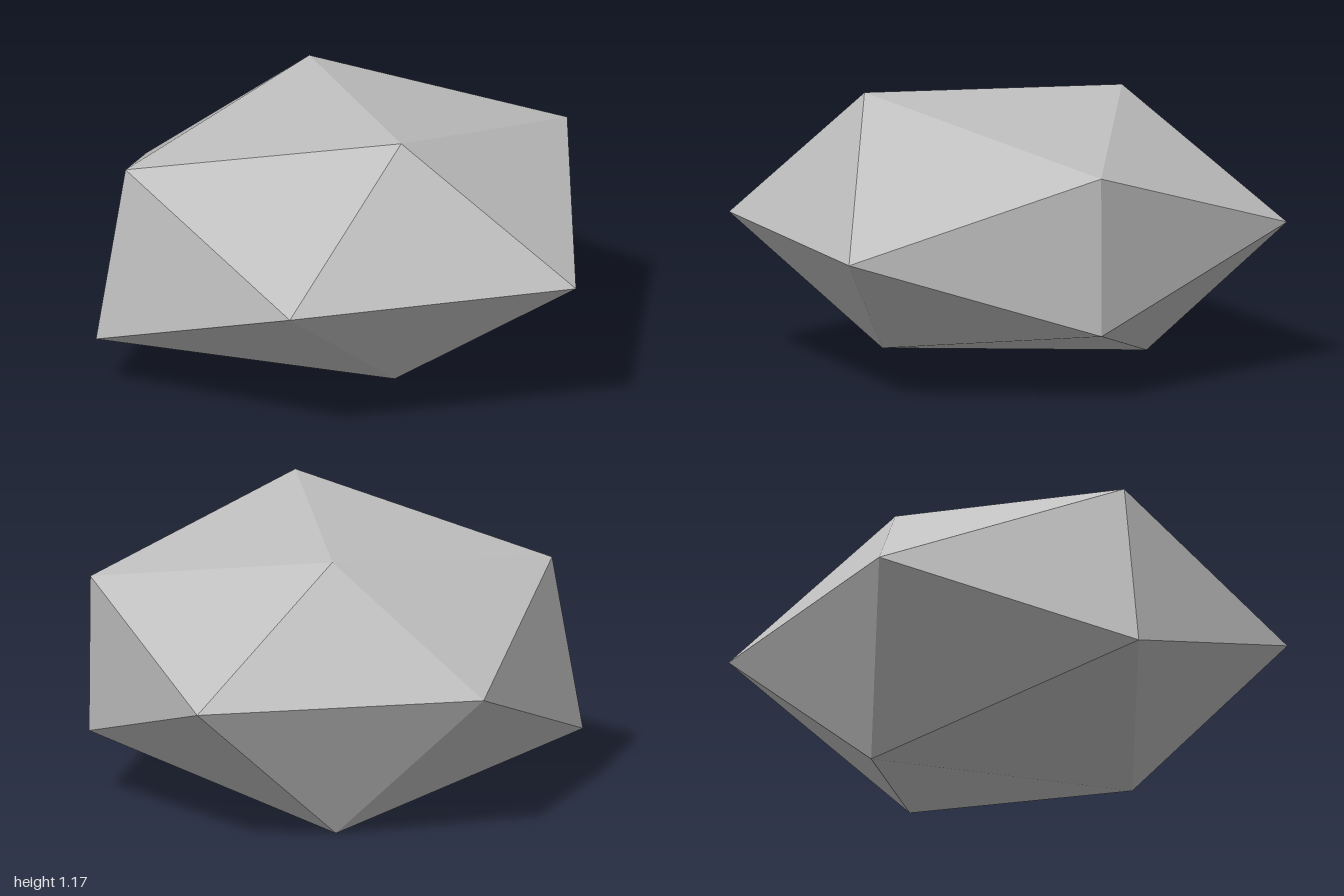
import * as THREE from 'three';

// Corner positions, keyed by the signs of x, y, z on a regular icosahedron
const CORNERS = {
  // left and right side corners
  '1,1,0': [0.995, 0.925, 0], '-1,1,0': [-0.875, 0.94, -0.01],
  '1,-1,0': [1, 0.28, 0], '-1,-1,0': [-1, 0.22, -0.01],
  // top ridge and bottom keel
  '0,1,1': [0.085, 1.17, 0.61], '0,1,-1': [0.085, 1.1, -0.545],
  '0,-1,1': [0.085, 0.115, 0.53], '0,-1,-1': [0.085, 0, -0.655],
  // front and back rim
  '1,0,1': [0.7, 0.605, 0.985], '-1,0,1': [-0.495, 0.605, 0.93],
  '1,0,-1': [0.69, 0.605, -0.985], '-1,0,-1': [-0.48, 0.605, -0.915],
};

const signOf = (v) => (v > 0.1 ? 1 : v < -0.1 ? -1 : 0);

export function createModel() {
  const stone = new THREE.MeshStandardMaterial({ color: 0xbfbfbf });
  stone.name = 'stone grey';
  stone.flatShading = true;

  // Squashed, uneven icosahedron boulder: move every corner to its own place
  const geometry = new THREE.IcosahedronGeometry(1, 0).rotateY(Math.PI / 2);
  const pos = geometry.attributes.position;
  for (let i = 0; i < pos.count; i++) {
    const key = [pos.getX(i), pos.getY(i), pos.getZ(i)].map(signOf).join(',');
    pos.setXYZ(i, ...CORNERS[key]);
  }
  geometry.computeVertexNormals();

  const rock = new THREE.Mesh(geometry, stone);
  rock.name = 'rock';

  const group = new THREE.Group();
  group.name = 'boulder';
  group.add(rock);
  return group;
}
